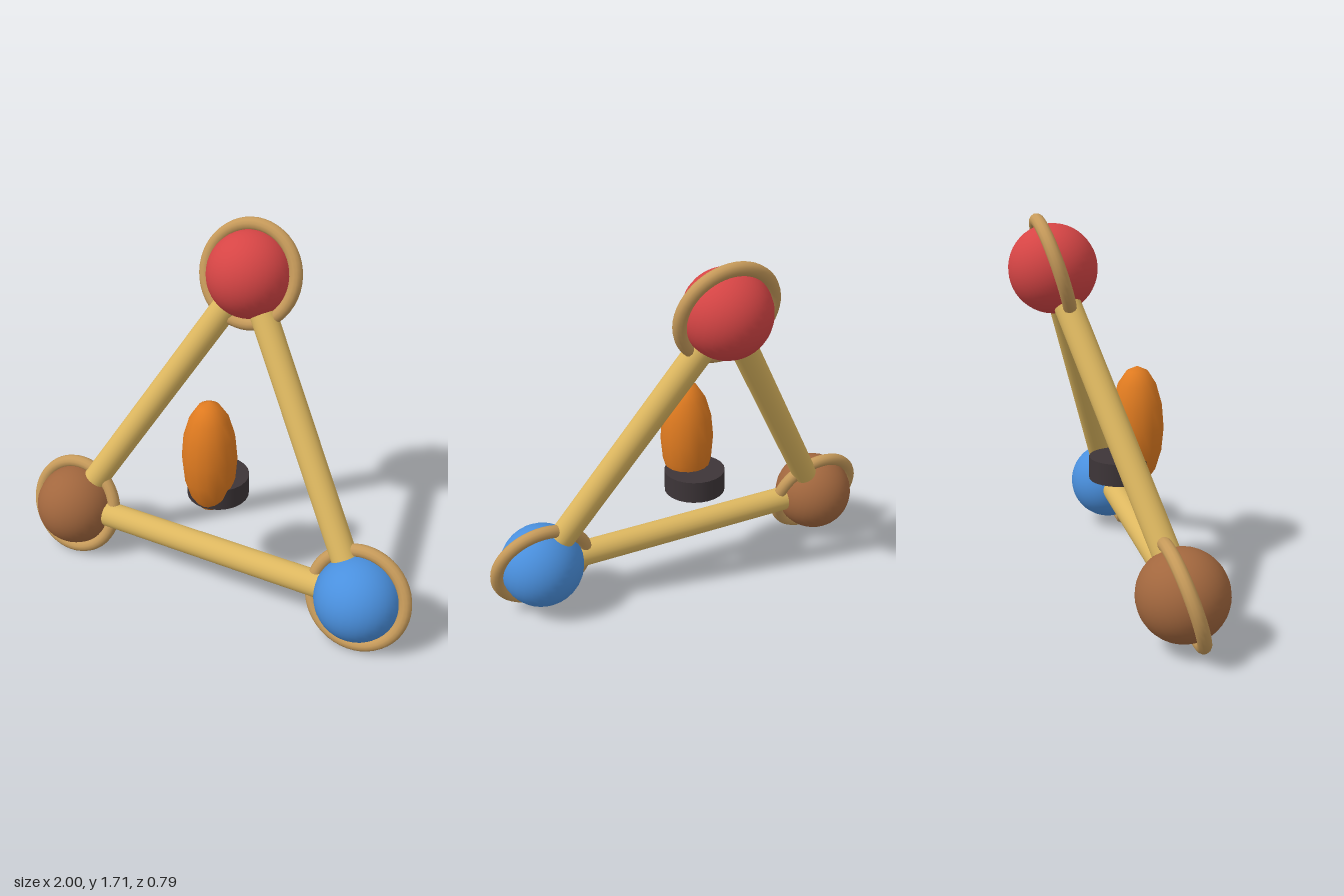
import * as THREE from 'three';

const mat = (name, color) => {
  const m = new THREE.MeshStandardMaterial({ color });
  m.name = name;
  return m;
};

export function createModel() {
  const model = new THREE.Group();
  const wood = mat('pale wood', 0xdeb860);
  const rim = mat('tan rim', 0xc69a5a);
  const flameOrange = mat('flame orange', 0xe07b20);
  const charcoal = mat('charcoal', 0x3d3538);

  const add = (parent, name, geometry, material, x = 0, y = 0, z = 0) => {
    const mesh = new THREE.Mesh(geometry, material);
    mesh.name = name;
    mesh.position.set(x, y, z);
    parent.add(mesh);
    return mesh;
  };

  // Triangular frame, built upright and leaned back
  const side = 1.5;
  const frame = new THREE.Group();
  frame.name = 'frame';
  frame.position.set(0, 0.24, 0.2);
  frame.rotation.x = -Math.PI / 10;
  model.add(frame);

  const corners = [
    { name: 'right', at: new THREE.Vector3(-side / 2, 0, 0), color: mat('brown', 0xa2673e) },
    { name: 'left', at: new THREE.Vector3(side / 2, 0, 0), color: mat('blue', 0x4a90de) },
    { name: 'top', at: new THREE.Vector3(0, side * Math.sqrt(3) / 2, 0), color: mat('red', 0xd64545) },
  ];
  const ball = new THREE.SphereGeometry(0.195, 32, 24);
  const ring = new THREE.TorusGeometry(0.218, 0.03, 12, 48);
  const bar = new THREE.CylinderGeometry(0.061, 0.061, side - 0.3, 24);
  const up = new THREE.Vector3(0, 1, 0);

  corners.forEach(({ name, at, color }, i) => {
    add(frame, name + 'Ball', ball, color, at.x, at.y, at.z);
    add(frame, name + 'Ring', ring, rim, at.x, at.y, at.z);

    // Bar from this corner to the next
    const next = corners[(i + 1) % 3].at;
    const mid = at.clone().add(next).multiplyScalar(0.5);
    const beam = add(frame, name + 'Bar', bar, wood, mid.x, mid.y, mid.z);
    beam.quaternion.setFromUnitVectors(up, next.clone().sub(at).normalize());
  });

  // Flame and its burner in the middle
  const flame = new THREE.SphereGeometry(0.125, 16, 8).scale(1, 2.27, 1);
  add(model, 'flame', flame, flameOrange, 0, 0.743, 0.18);
  add(model, 'burner', new THREE.CylinderGeometry(0.143, 0.143, 0.104, 24), charcoal, 0, 0.553, 0.102);

  return model;
}
